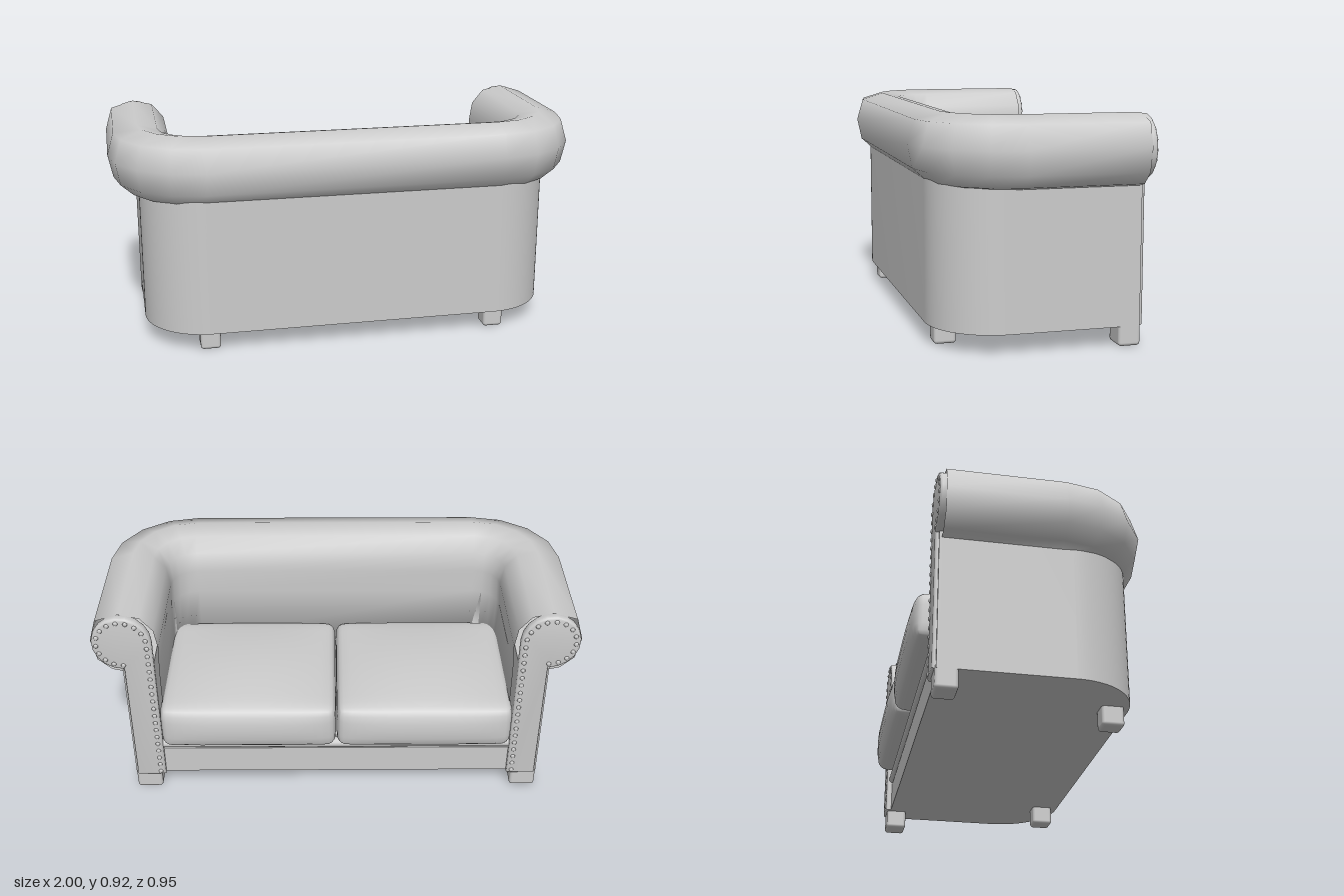
import * as THREE from 'three';
import { mergeVertices, mergeGeometries, toCreasedNormals } from 'three/addons/utils/BufferGeometryUtils.js';
import { RoundedBoxGeometry } from 'three/addons/geometries/RoundedBoxGeometry.js';

const material = new THREE.MeshStandardMaterial({ color: 0xcccccc, side: THREE.DoubleSide });

function add(group, name, geometry, x = 0, y = 0, z = 0) {
  const mesh = new THREE.Mesh(geometry, material);
  mesh.name = name;
  mesh.position.set(x, y, z);
  group.add(mesh);
  return mesh;
}

// Plan outline with two rounded corners at the backrest (shape y becomes z)
function tracePlan(path, hw, front, back, r) {
  path.moveTo(hw, front);
  path.lineTo(hw, back - r);
  path.absarc(hw - r, back - r, r, 0, Math.PI / 2, false);
  path.lineTo(-hw + r, back);
  path.absarc(-hw + r, back - r, r, Math.PI / 2, Math.PI, false);
  path.lineTo(-hw, front);
  return path;
}

function extrudePlan(shape, y0, y1) {
  const g = new THREE.ExtrudeGeometry(shape, { depth: y1 - y0, bevelEnabled: false, curveSegments: 10 });
  g.rotateX(Math.PI / 2);
  g.translate(0, y1, 0);
  return toCreasedNormals(g, 0.6);
}

// Rolled top and inner upholstery: one profile swept round the U of the sofa
function rollGeometry() {
  const profile = [
    [0, -0.15], [0.06, -0.135], [0.115, -0.085], [0.135, 0.01], [0.107, 0.105], [0.01, 0.135],
    [-0.075, 0.115], [-0.125, 0.055], [-0.138, -0.03], [-0.132, -0.14], [-0.13, -0.4],
  ];
  const half = [[0.865, -0.385, 1, 0]];
  for (let i = 0; i <= 4; i++) {
    const c = Math.cos(i * Math.PI / 8), s = Math.sin(i * Math.PI / 8);
    half.push([0.62 + 0.245 * c, 0.09 + 0.245 * s, c, s]);
  }
  const frames = [...half, ...half.map(([x, z, nx, nz]) => [-x, z, -nx, nz]).reverse()];
  const pos = [], index = [], n = profile.length;
  frames.forEach(([x, z, nx, nz], i) => {
    profile.forEach(([d, y], j) => {
      pos.push(x + nx * d, 0.78 + y, z + nz * d);
      if (i === frames.length - 1) return;
      const a = i * n + j, b = i * n + (j + 1) % n;
      index.push(a, b, a + n, b, b + n, a + n);
    });
  });
  const g = new THREE.BufferGeometry();
  g.setAttribute('position', new THREE.Float32BufferAttribute(pos, 3));
  g.setIndex(index);
  g.computeVertexNormals();
  return g;
}

// Soft cushion: a rounded box with a crowned top and bulging front
function cushionGeometry(w, h, d, r) {
  let g = new THREE.BoxGeometry(2, 2, 2, 16, 8, 16);
  g.deleteAttribute('uv');
  g.deleteAttribute('normal');
  g = mergeVertices(g);
  const p = g.attributes.position, v = new THREE.Vector3(), q = new THREE.Vector3();
  const half = new THREE.Vector3(w / 2, h / 2, d / 2);
  const core = half.clone().subScalar(r);
  for (let i = 0; i < p.count; i++) {
    v.fromBufferAttribute(p, i);
    v.set(...v.toArray().map((t) => Math.sin(t * Math.PI / 2))).multiply(half);
    q.copy(v).clamp(core.clone().negate(), core);
    v.sub(q);
    if (v.lengthSq() > 0) v.setLength(r);
    v.add(q);
    const u = v.x / half.x, k = v.y / half.y, t = v.z / half.z;
    if (k > 0) v.y += 0.035 * k * (1 - u * u) * (1 - t * t);
    if (t < 0) v.z += 0.018 * t * (1 - k * k) * (1 - u ** 4);
    p.setXYZ(i, v.x, v.y, v.z);
  }
  g.computeVertexNormals();
  return g;
}

// Scroll-topped arm facing, s = side
function facingGeometry(s) {
  const pts = [[0.75, 0.08], [0.75, 0.785]];
  for (let i = 1; i <= 14; i++) {
    const a = Math.PI - i * 1.5 * Math.PI / 14;
    pts.push([0.872 + 0.122 * Math.cos(a), 0.785 + 0.126 * Math.sin(a)]);
  }
  pts.push([0.872, 0.08]);
  const shape = new THREE.Shape(pts.map(([x, y]) => new THREE.Vector2(s * x, y)));
  const g = new THREE.ExtrudeGeometry(shape, {
    depth: 0.018, bevelThickness: 0.01, bevelSize: 0.01, bevelOffset: -0.01, bevelSegments: 3,
  });
  g.translate(0, 0, -0.4);
  return toCreasedNormals(g, 0.7);
}

// Nail heads up the inner edge and round the scroll
function nailGeometry(s) {
  const path = new THREE.CurvePath();
  path.add(new THREE.LineCurve(new THREE.Vector2(0.77, 0.1), new THREE.Vector2(0.77, 0.785)));
  path.add(new THREE.EllipseCurve(0.872, 0.785, 0.102, 0.104, Math.PI, -Math.PI / 2, true));
  const heads = path.getSpacedPoints(30).map((pt) => {
    const g = new THREE.SphereGeometry(0.01, 8, 6);
    g.scale(1, 1, 0.6);
    g.translate(s * pt.x, pt.y, -0.41);
    return g;
  });
  return mergeGeometries(heads);
}

export function createModel() {
  const sofa = new THREE.Group();
  sofa.name = 'sofa';

  // Outer shell: U-shaped wall
  const wall = tracePlan(new THREE.Shape(), 0.88, -0.395, 0.405, 0.27);
  const inner = tracePlan(new THREE.Path(), 0.75, -0.395, 0.22, 0.12).getPoints(10).reverse();
  inner.forEach((pt) => wall.lineTo(pt.x, pt.y));
  add(sofa, 'outerWall', extrudePlan(wall, 0.08, 0.68));
  add(sofa, 'rolledBackAndArms', rollGeometry());

  // Seat base, rail and piping
  const deck = tracePlan(new THREE.Shape(), 0.87, -0.36, 0.395, 0.27);
  add(sofa, 'seatBase', extrudePlan(deck, 0.08, 0.26));
  add(sofa, 'frontRail', new THREE.BoxGeometry(1.52, 0.13, 0.06), 0, 0.145, -0.355);
  const piping = new THREE.CylinderGeometry(0.022, 0.022, 1.52, 12);
  piping.rotateZ(Math.PI / 2);
  add(sofa, 'railPiping', piping, 0, 0.238, -0.378);

  for (const s of [1, -1]) {
    const side = s > 0 ? 'left' : 'right';
    add(sofa, side + 'Cushion', cushionGeometry(0.744, 0.205, 0.67, 0.045), s * 0.373, 0.3725, -0.125);
    add(sofa, side + 'ArmFacing', facingGeometry(s));
    add(sofa, side + 'NailHeads', nailGeometry(s));
    // Feet
    add(sofa, side + 'SeatSideFoot', new RoundedBoxGeometry(0.11, 0.1, 0.09, 3, 0.014), s * 0.825, 0.05, -0.355);
    add(sofa, side + 'BackFoot', new RoundedBoxGeometry(0.085, 0.1, 0.09, 3, 0.014), s * 0.62, 0.05, 0.333);
  }
  return sofa;
}
